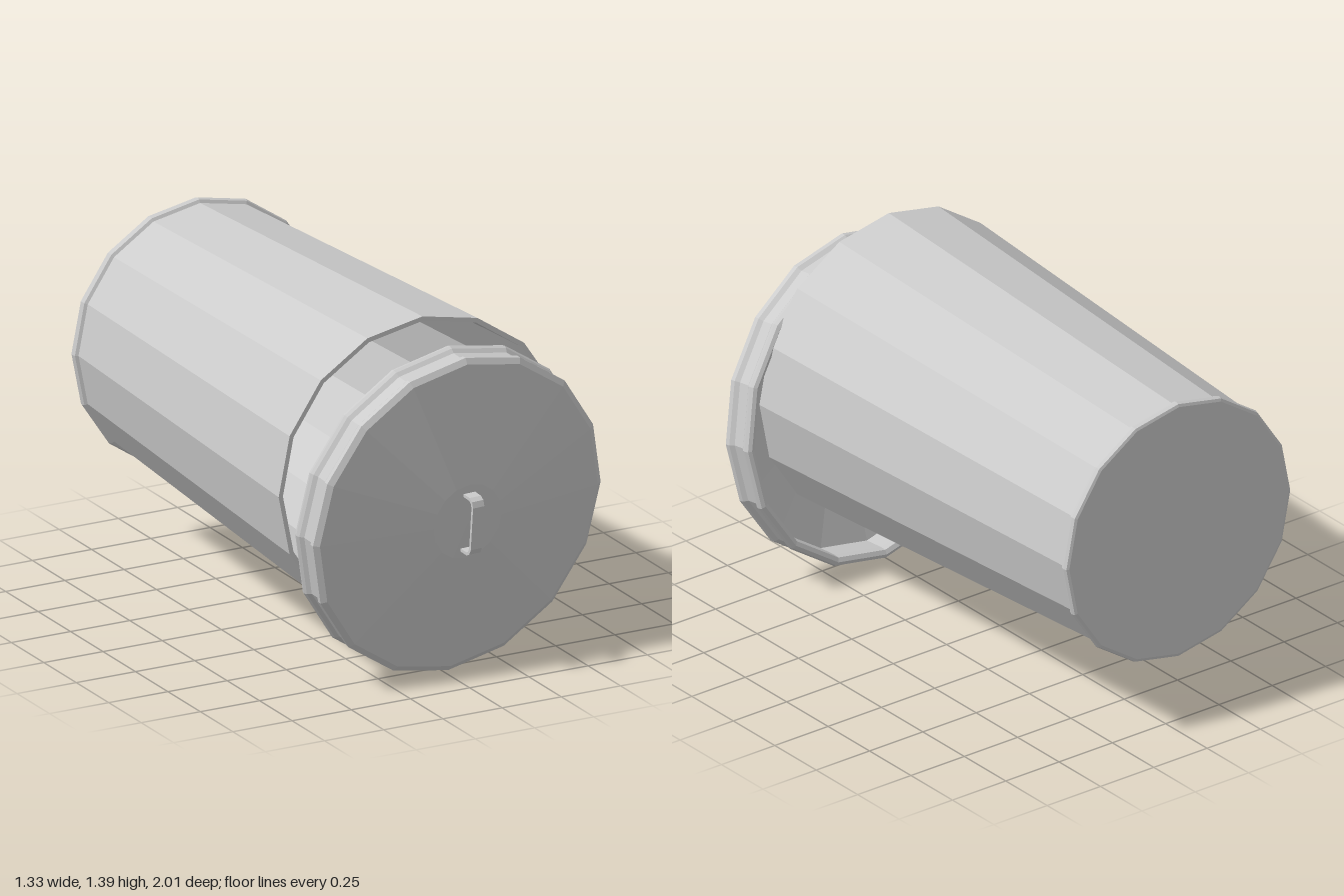
import * as THREE from 'three';

const SIDES = 16;

function makeMesh(name, geometry) {
  const flat = geometry.index ? geometry.toNonIndexed() : geometry;
  flat.computeVertexNormals();
  const mesh = new THREE.Mesh(flat, new THREE.MeshStandardMaterial({ color: 0xcccccc, flatShading: true }));
  mesh.name = name;
  return mesh;
}

// Revolves [radius, z] pairs around the z axis
function turned(name, profile) {
  const points = profile.map(([r, z]) => new THREE.Vector2(r, z));
  return makeMesh(name, new THREE.LatheGeometry(points, SIDES).rotateX(Math.PI / 2));
}

// Bent flat strap standing on the lid, from a U-shaped outline
function makeHandle() {
  const base = 0.19, outer = [[base, 0.117], [0.24, 0.117], [0.258, 0.107], [0.267, 0.085]];
  const inner = [[base, 0.105], [0.238, 0.105], [0.249, 0.099], [0.256, 0.082]];
  const mirror = (side) => side.map(([d, h]) => [d, -h]).reverse();
  const outline = [...mirror(outer).reverse(), ...[...outer].reverse(), ...inner, ...mirror(inner)];
  const shape = new THREE.Shape(outline.map(([d, h]) => new THREE.Vector2(d, h)));
  const geometry = new THREE.ExtrudeGeometry(shape, { depth: 0.05, bevelEnabled: false });
  geometry.translate(0, 0, -0.025).rotateY(-Math.PI / 2);
  return makeMesh('handle', geometry);
}

export function createModel() {
  const model = new THREE.Group();
  model.name = 'fallenTrashCan';

  // Tapered can lying on its side, with a rolled rim round its closed end
  const can = turned('can', [
    [0, -1], [0.514, -1], [0.525, -0.996], [0.529, -0.982], [0.525, -0.969], [0.513, -0.963],
    [0.607, 0.75], [0.589, 0.75], [0.497, -0.97], [0, -0.97],
  ]);
  can.position.set(-0.0625, 0.79, 0);
  model.add(can);

  // Shallow conical lid with a grooved rim, leaning against the open end
  const lid = new THREE.Group();
  lid.name = 'lid';
  lid.add(turned('lidShell', [
    [0, 0.185], [0.14, 0.185], [0.595, 0.105], [0.6, 0.03], [0.605, 0.004], [0.622, -0.003],
    [0.636, 0.004], [0.641, 0.018], [0.636, 0.032], [0.623, 0.046], [0.623, 0.092],
    [0.636, 0.108], [0.637, 0.126], [0.615, 0.14], [0.15, 0.2], [0, 0.203],
  ]));
  lid.add(makeHandle());
  lid.position.set(0.015, 0.65, 0.73);
  lid.quaternion.setFromUnitVectors(
    new THREE.Vector3(0, 0, 1), new THREE.Vector3(0.08, -0.1, 1).normalize());
  model.add(lid);

  return model;
}
